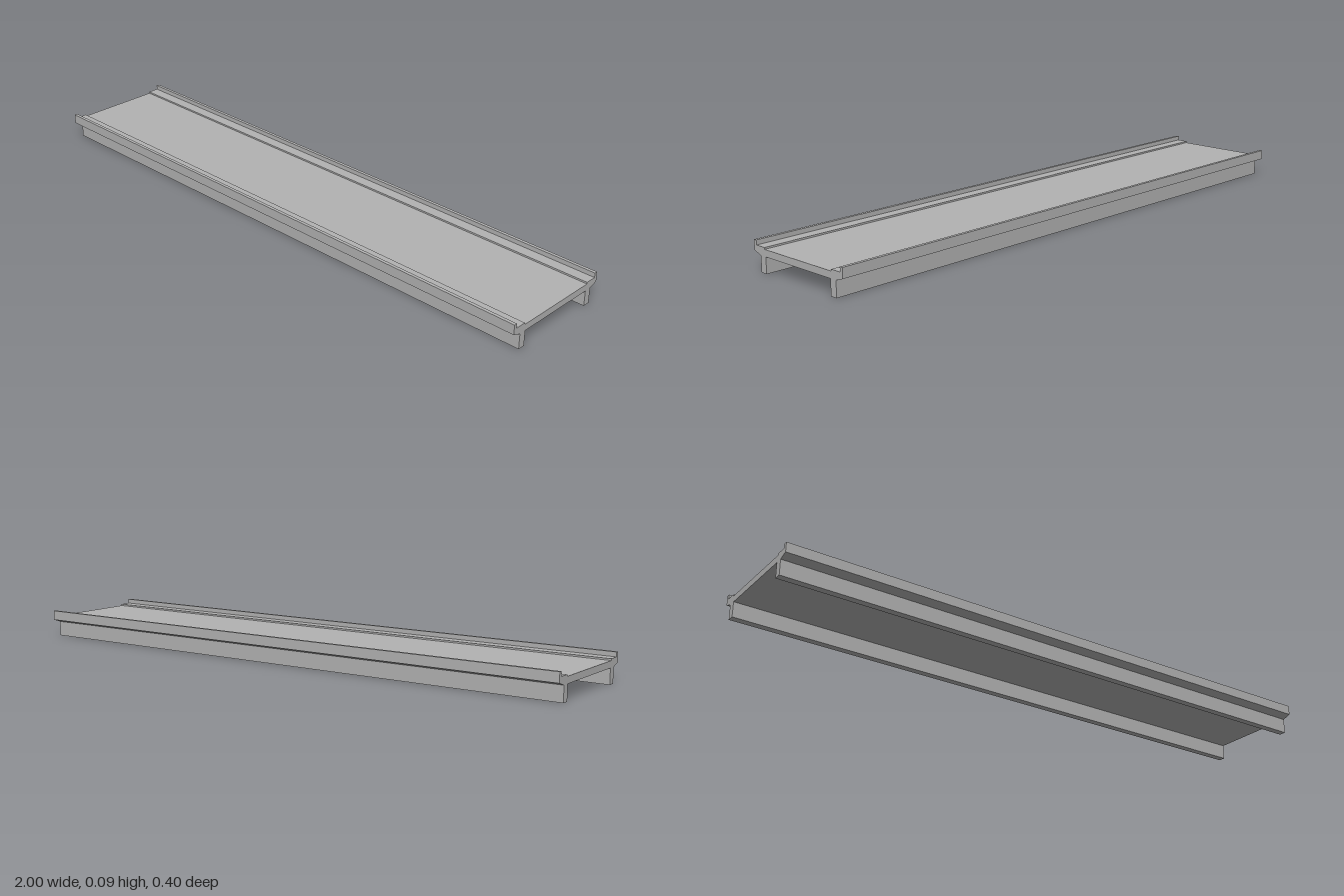
import * as THREE from 'three';

const LENGTH = 2;

export function createModel() {
  const group = new THREE.Group();
  group.name = 'bridgeSpan';
  const concrete = new THREE.MeshStandardMaterial({ color: 0xb2b2b2 });
  concrete.name = 'concrete grey';

  // Extrudes a cross-section (z, y) along the full length of the span
  function addSection(name, points) {
    const shape = new THREE.Shape(points.map(([z, y]) => new THREE.Vector2(z, y)));
    const geometry = new THREE.ExtrudeGeometry(shape, { depth: LENGTH, bevelEnabled: false });
    geometry.translate(0, 0, -LENGTH / 2);
    geometry.rotateY(Math.PI / 2);
    const mesh = new THREE.Mesh(geometry, concrete);
    mesh.name = name;
    group.add(mesh);
  }

  // Deck slab with kerbs, parapets and sloped cantilever edges: half profile, mirrored
  const half = [
    [0.1705, 0.051], // underside, at the girder
    [0.2, 0.061],    // sloped edge
    [0.2, 0.0935],   // parapet
    [0.189, 0.0935],
    [0.189, 0.0785], // kerb
    [0.151, 0.0785],
    [0.151, 0.073],  // roadway
  ];
  const mirrored = half.map(([z, y]) => [-z, y]).reverse();
  addSection('deck', [...half, ...mirrored]);

  // Girders under each side
  for (const [name, side] of [['frontGirder', 1], ['backGirder', -1]]) {
    const girder = new THREE.Mesh(new THREE.BoxGeometry(LENGTH, 0.051, 0.024), concrete);
    girder.name = name;
    girder.position.set(0, 0.0255, side * 0.1585);
    group.add(girder);
  }

  return group;
}
